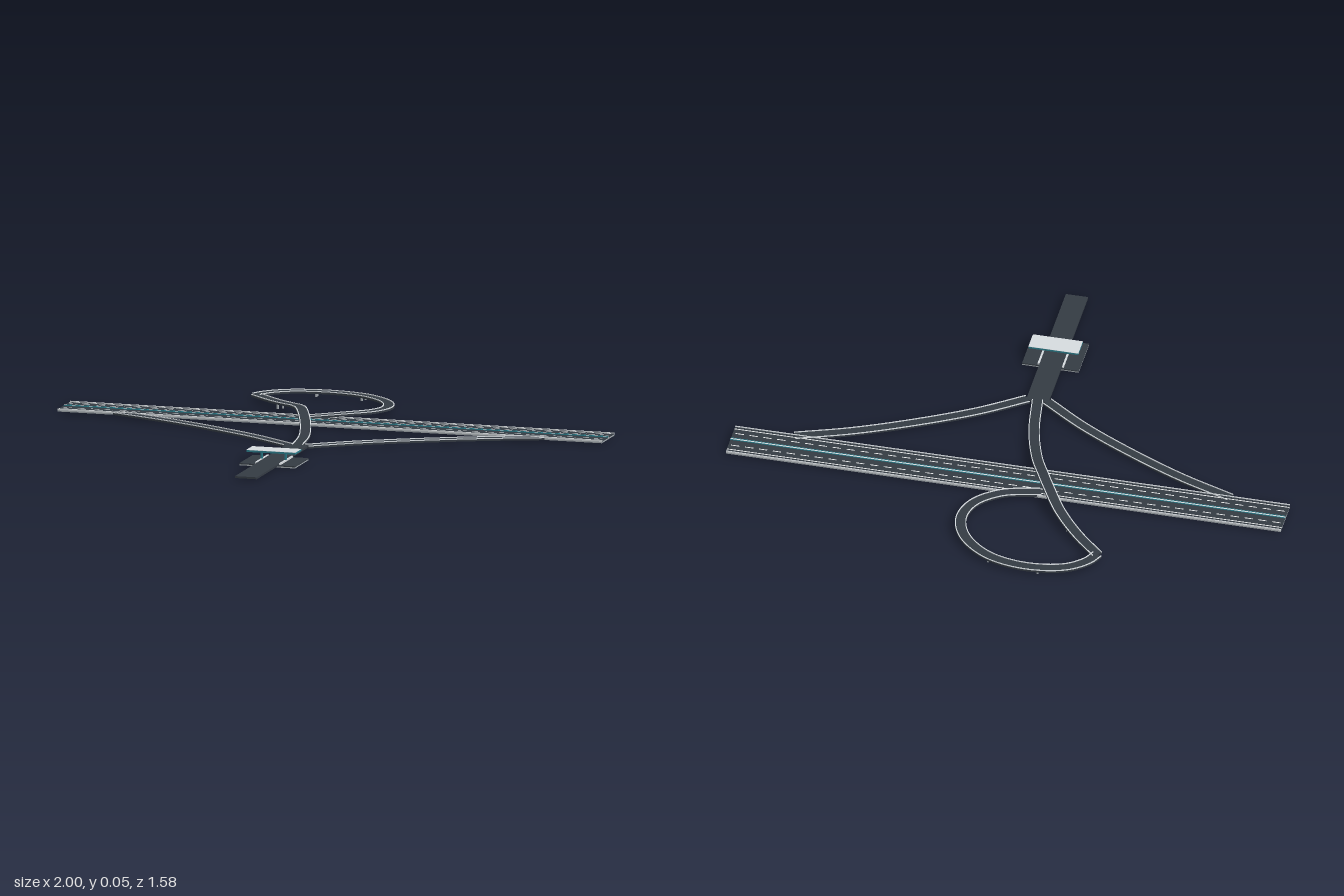
import * as THREE from 'three';

const mat = (name, color) => Object.assign(new THREE.MeshStandardMaterial({ color }), { name });
const asphalt = mat('asphalt', 0x343b43);
const concrete = mat('concrete', 0xa0a7ac);
const paint = mat('white paint', 0xf0f2f2);
const roofGrey = mat('roof grey', 0xd5dade);
const teal = mat('teal steel', 0x2c7f8d);

// Box given by its centre in plan, its bottom and its top
function slab(parent, name, material, x, z, w, d, y0, y1) {
  const mesh = new THREE.Mesh(new THREE.BoxGeometry(w, y1 - y0, d), material);
  mesh.position.set(x, (y0 + y1) / 2, z);
  mesh.name = name;
  parent.add(mesh);
}

// Sweep a rectangle (side offsets a..b, heights lo..hi) along a curve, keeping it level
function sweep(curve, a, b, lo, hi, steps) {
  const rings = [];
  for (let i = 0; i <= steps; i++) {
    const p = curve.getPointAt(i / steps);
    const t = curve.getTangentAt(i / steps).setY(0).normalize();
    const at = (s, h) => new THREE.Vector3(p.x - t.z * s, p.y + h, p.z + t.x * s);
    rings.push([at(a, lo), at(b, lo), at(b, hi), at(a, hi)]);
  }
  const tri = [];
  for (let i = 0; i < steps; i++) {
    for (let k = 0; k < 4; k++) {
      const n = (k + 1) % 4, p = rings[i], q = rings[i + 1];
      tri.push(p[k], q[k], q[n], p[k], q[n], p[n]);
    }
  }
  const [s0, s1, s2, s3] = rings[0], [e0, e1, e2, e3] = rings[steps];
  tri.push(s0, s1, s2, s0, s2, s3, e0, e2, e1, e0, e3, e2);
  const geometry = new THREE.BufferGeometry().setFromPoints(tri);
  geometry.computeVertexNormals();
  return geometry;
}

// Ramp deck with a light rail along each side
function ramp(name, points, steps = 48) {
  const curve = new THREE.CatmullRomCurve3(points.map((p) => new THREE.Vector3(...p)));
  const group = new THREE.Group();
  group.name = name;
  const add = (part, material, ...section) => {
    const mesh = new THREE.Mesh(sweep(curve, ...section, steps), material);
    mesh.name = part;
    group.add(mesh);
  };
  add('rampDeck', asphalt, -0.02, 0.02, -0.007, 0);
  for (const s of [-1, 1]) add('rampRail', roofGrey, s * 0.0182 - 0.0016, s * 0.0182 + 0.0016, 0, 0.003);
  return { group, curve };
}

// Pairs of round columns under a raised ramp
function piers(parent, curve, places) {
  for (const u of places) {
    const p = curve.getPointAt(u), t = curve.getTangentAt(u).setY(0).normalize();
    for (const s of [-0.01, 0.01]) {
      const h = p.y - 0.006;
      const mesh = new THREE.Mesh(new THREE.CylinderGeometry(0.004, 0.004, h, 10), concrete);
      mesh.position.set(p.x - t.z * s, h / 2, p.z + t.x * s);
      mesh.name = 'pier';
      parent.add(mesh);
    }
  }
}

export function createModel() {
  const model = new THREE.Group();
  model.name = 'interchange';

  // Main highway: concrete base, two carriageways, median, lines and guard rails
  const highway = new THREE.Group();
  highway.name = 'highway';
  const zc = -0.285;
  slab(highway, 'highwayBase', concrete, 0, zc, 2, 0.15, 0.004, 0.009);
  for (const s of [-1, 1]) {
    slab(highway, 'carriageway', asphalt, 0, zc + s * 0.0365, 2, 0.069, 0.009, 0.012);
    slab(highway, 'guardRail', roofGrey, 0, zc + s * 0.073, 2, 0.003, 0.009, 0.015);
    slab(highway, 'edgeLine', paint, 0, zc + s * 0.059, 2, 0.004, 0.012, 0.0126);
    slab(highway, 'medianRail', teal, 0, zc + s * 0.0045, 2, 0.002, 0.012, 0.015);
    for (let i = 0; i < 40; i++) {
      slab(highway, 'laneDash', paint, -0.975 + i * 0.05, zc + s * 0.034, 0.03, 0.004, 0.012, 0.0126);
    }
  }
  slab(highway, 'median', roofGrey, 0, zc, 2, 0.005, 0.009, 0.0145);
  model.add(highway);

  // Connecting road to the toll plaza
  slab(model, 'connectingRoad', asphalt, 0, 0.48, 0.08, 0.62, 0.005, 0.012);

  // Toll plaza with islands, columns and canopy
  const plaza = new THREE.Group();
  plaza.name = 'tollPlaza';
  slab(plaza, 'plazaBase', concrete, 0, 0.455, 0.204, 0.16, 0, 0.004);
  slab(plaza, 'plazaPaving', asphalt, 0, 0.455, 0.204, 0.16, 0.004, 0.008);
  for (const x of [-0.044, 0.044]) {
    slab(plaza, 'tollIsland', roofGrey, x, 0.455, 0.006, 0.15, 0.008, 0.014);
    slab(plaza, 'canopyColumn', teal, x, 0.457, 0.006, 0.006, 0.014, 0.042);
  }
  slab(plaza, 'canopyFrame', teal, 0, 0.457, 0.18, 0.072, 0.041, 0.0475);
  slab(plaza, 'canopyRoof', roofGrey, 0, 0.457, 0.18, 0.072, 0.0475, 0.0485);
  model.add(plaza);

  // Mirrored diagonal ramps
  for (const s of [-1, 1]) {
    model.add(ramp(s < 0 ? 'rightRamp' : 'leftRamp', [
      [s * 0.035, 0.012, 0.175], [s * 0.19, 0.012, 0.065], [s * 0.385, 0.012, -0.045],
      [s * 0.59, 0.012, -0.143], [s * 0.785, 0.0125, -0.217],
    ]).group);
  }

  // Flyover crossing the highway
  const flyover = ramp('flyover', [
    [0, 0.0125, 0.175], [-0.028, 0.013, 0], [-0.078, 0.031, -0.17], [-0.125, 0.051, -0.28],
    [-0.163, 0.047, -0.35], [-0.225, 0.032, -0.45], [-0.31, 0.021, -0.552], [-0.405, 0.019, -0.647],
  ], 64);
  piers(flyover.group, flyover.curve, [0.31, 0.8]);
  model.add(flyover.group);

  // Loop turning back down to the highway
  const loop = ramp('loopRamp', [
    [-0.405, 0.019, -0.647], [-0.38, 0.019, -0.693], [-0.31, 0.019, -0.746], [-0.17, 0.019, -0.77],
    [-0.03, 0.019, -0.738], [0.072, 0.019, -0.65], [0.107, 0.02, -0.55], [0.083, 0.022, -0.46],
    [0, 0.022, -0.385], [-0.13, 0.0128, -0.335],
  ], 80);
  piers(loop.group, loop.curve, [0.23, 0.41, 0.6]);
  model.add(loop.group);

  return model;
}
